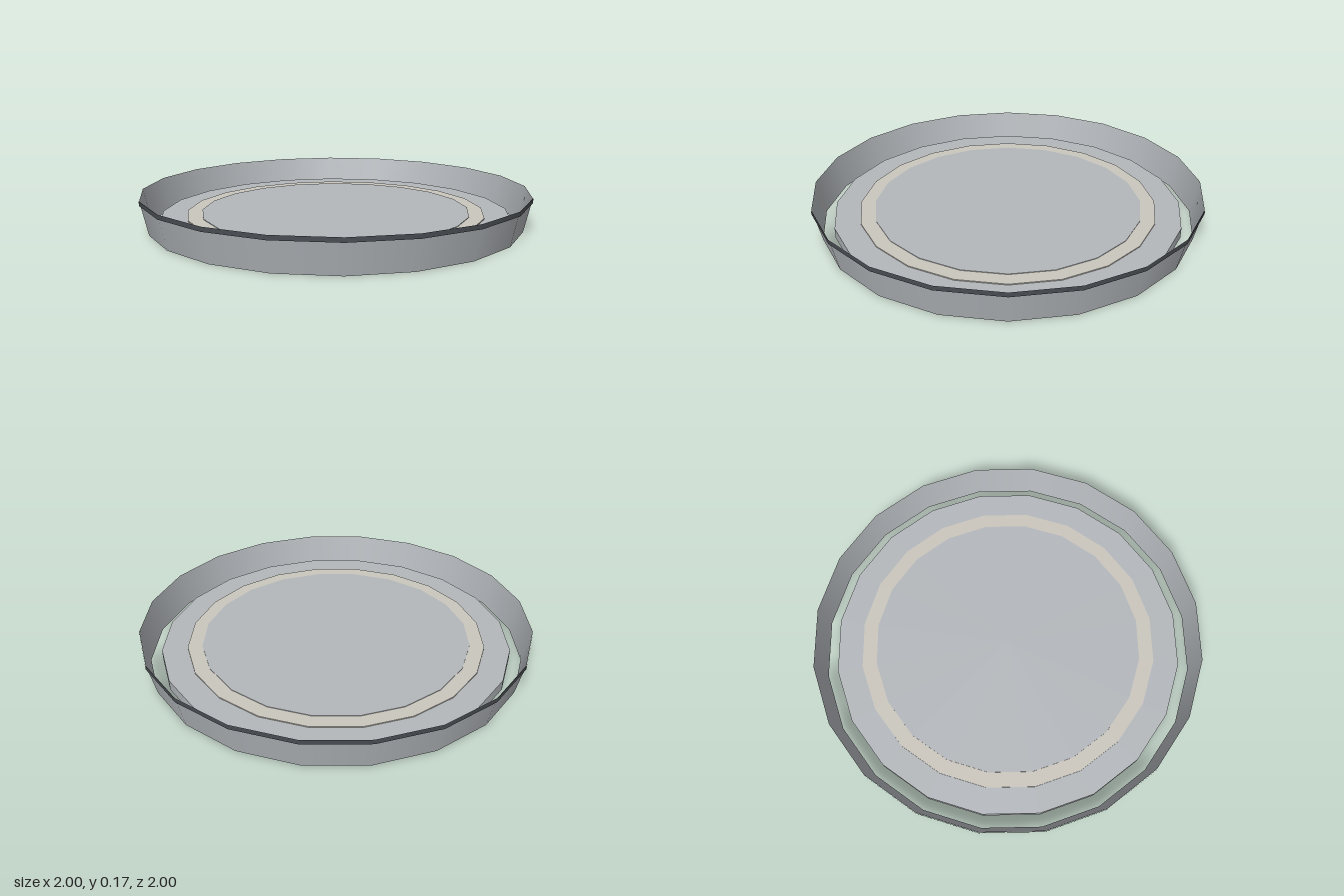
import * as THREE from 'three';

const SIDES = 20;

export function createModel() {
  const model = new THREE.Group();
  model.name = 'shallowRoundTray';

  const paint = (name, color, side = THREE.FrontSide) => {
    const m = new THREE.MeshStandardMaterial({ color, side });
    m.name = name;
    return m;
  };
  const steel = paint('steelGrey', 0xb4b8bc);
  const wallSteel = paint('wallSteelGrey', 0xb4b8bc, THREE.DoubleSide);
  const dark = paint('darkGrey', 0x484c51);
  const beige = paint('warmGrey', 0xcbc7be);

  // Round part standing between heights y0 and y1
  const round = (name, material, rTop, rBottom, y0, y1, open = false) => {
    const geometry = new THREE.CylinderGeometry(rTop, rBottom, y1 - y0, SIDES, 1, open);
    const mesh = new THREE.Mesh(geometry, material);
    mesh.name = name;
    mesh.position.y = (y0 + y1) / 2;
    model.add(mesh);
  };

  // Base plate, with a gap between it and the wall
  round('basePlate', steel, 0.9, 0.9, 0, 0.052);

  // Inlaid band around a slightly raised centre
  round('inlayBand', beige, 0.77, 0.77, 0.05, 0.057);
  round('centrePlate', steel, 0.695, 0.695, 0.052, 0.06);

  // Flared open wall and the dark trim around its top edge
  round('flaredWall', wallSteel, 0.998, 0.96, 0, 0.172, true);
  round('rimTrim', dark, 1, 1, 0.15, 0.172, true);

  return model;
}
